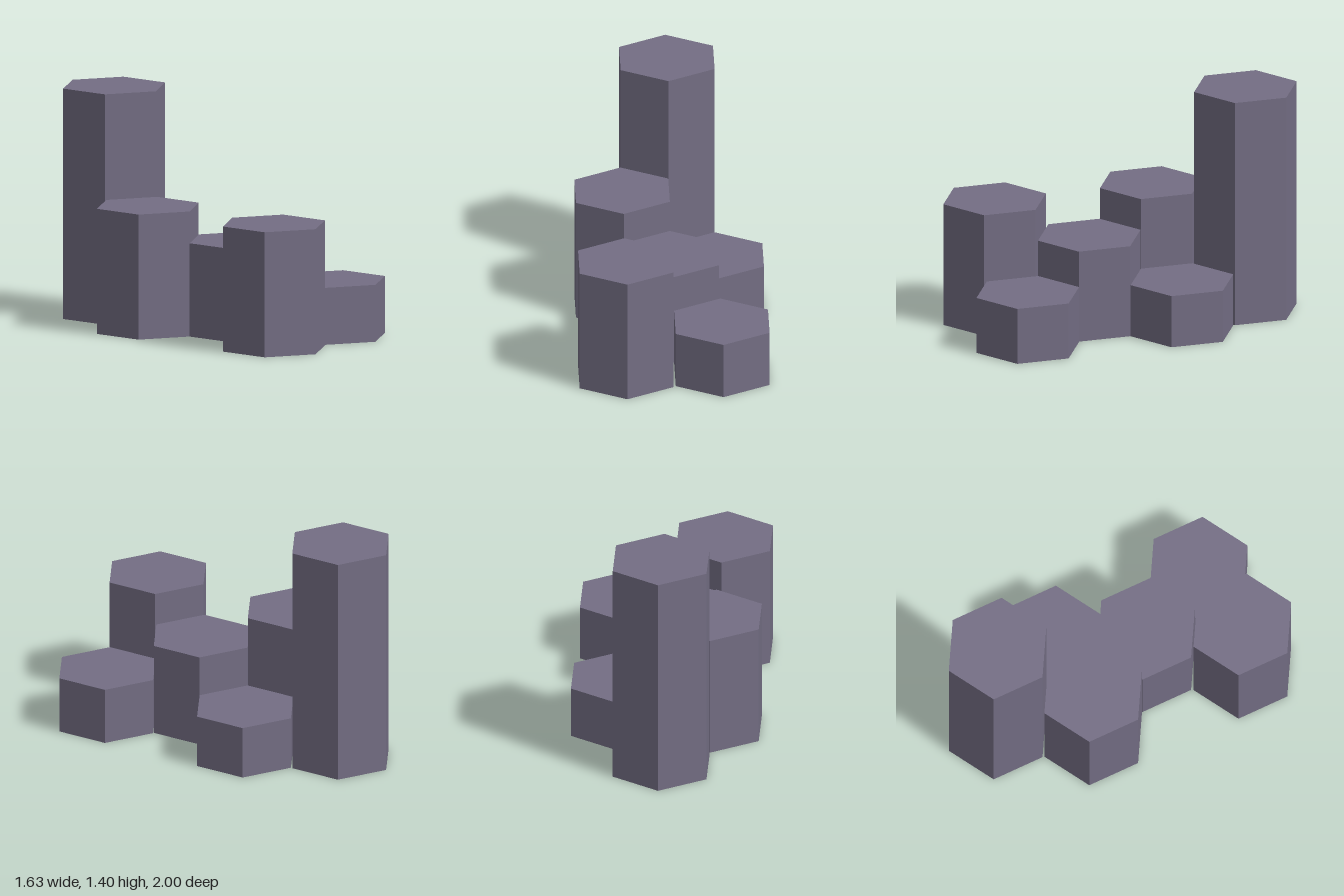
import * as THREE from 'three';

// Cluster of hexagonal stone columns: [x, z, height]
const COLUMNS = [
  [-0.494, -0.718, 1.4],
  [-0.002, -0.427, 0.322],
  [-0.49, -0.144, 0.76],
  [-0.002, 0.139, 0.567],
  [0.491, 0.418, 0.346],
  [-0.002, 0.717, 0.76],
];
const RADIUS = 0.325;

export function createModel() {
  const group = new THREE.Group();
  group.name = 'hexColumnCluster';
  const stone = new THREE.MeshStandardMaterial({ color: 0x746e84 });
  stone.name = 'purple grey stone';

  COLUMNS.forEach(([x, z, height], i) => {
    // Corners point along x, flat sides face front and back
    const geometry = new THREE.CylinderGeometry(RADIUS, RADIUS, height, 6, 1, false, Math.PI / 6).toNonIndexed();
    geometry.computeVertexNormals();
    const column = new THREE.Mesh(geometry, stone);
    column.name = `column${i + 1}`;
    column.position.set(x, height / 2, z);
    group.add(column);
  });
  return group;
}
